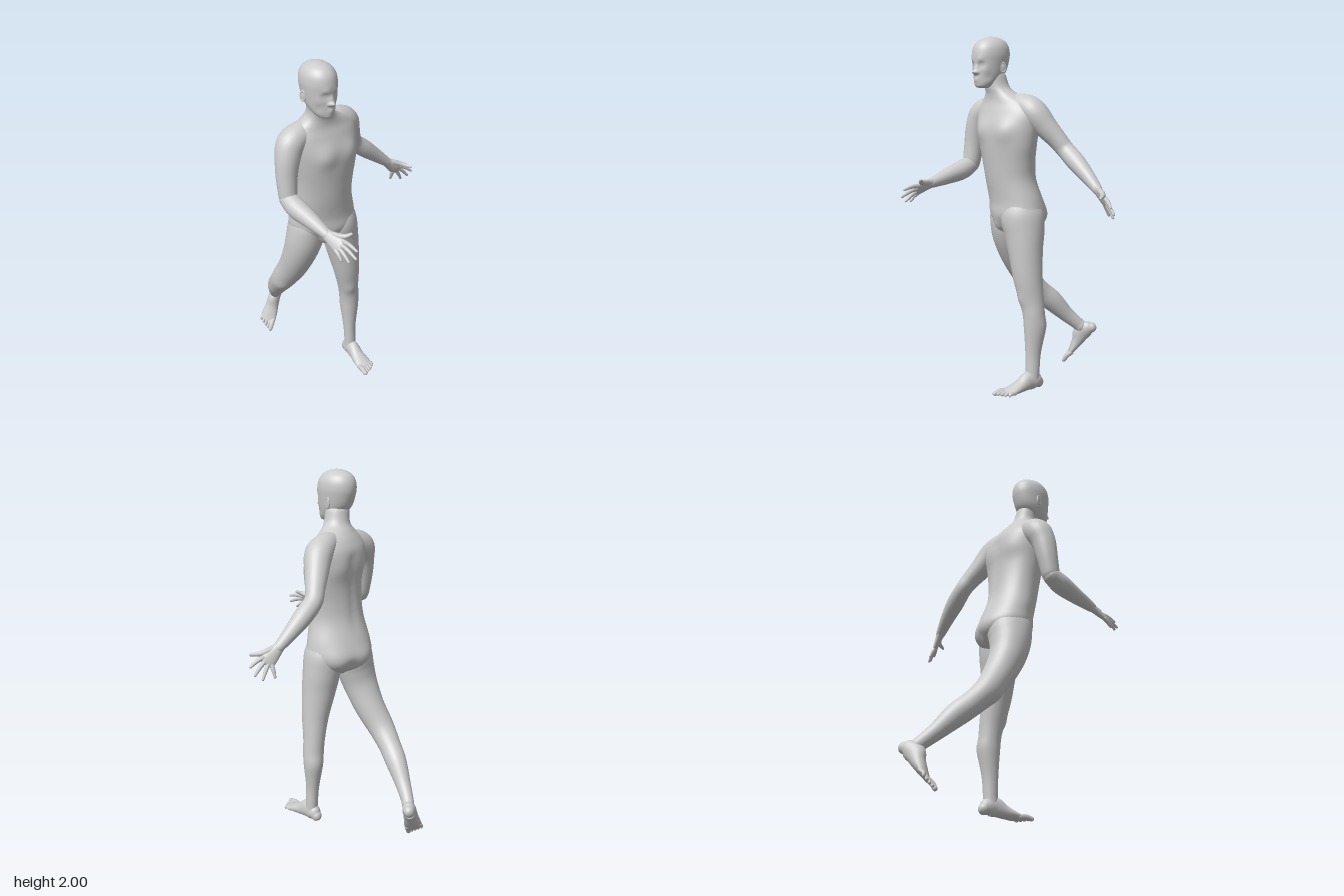
import * as THREE from 'three';

const V = (x, y, z) => new THREE.Vector3(x, y, z);
const material = new THREE.MeshStandardMaterial({ color: 0xcccccc });

// Smooth skin over elliptical sections [x, y, z, a, b, yaw] with domed ends.
// flat: sections stay level and turn by yaw; otherwise they follow the path, a lying along side.
function loft(rows, { flat = false, side = V(1, 0, 0), seg = 20, steps = 6, dome = 1 } = {}) {
  const path = new THREE.CatmullRomCurve3(rows.map(r => V(r[0], r[1], r[2])), false, 'catmullrom', 0.5);
  const size = new THREE.CatmullRomCurve3(rows.map(r => V(r[3], r[4] ?? r[3], r[5] ?? 0)), false, 'catmullrom', 0.5);
  const n = (rows.length - 1) * steps, pos = [], idx = [];
  let rings = 0;
  const ring = (t, scale, shift) => {
    const p = path.getPoint(t), s = size.getPoint(t);
    const dir = flat ? V(0, 1, 0) : path.getTangent(t);
    const u = flat ? V(Math.cos(s.z), 0, -Math.sin(s.z)) : side.clone().addScaledVector(dir, -side.dot(dir)).normalize();
    const v = u.clone().cross(dir);
    p.addScaledVector(dir, shift * dome * Math.min(s.x, s.y));
    for (let j = 0; j < seg; j++) {
      const q = j / seg * Math.PI * 2;
      const w = p.clone().addScaledVector(u, s.x * scale * Math.cos(q)).addScaledVector(v, s.y * scale * Math.sin(q));
      pos.push(w.x, w.y, w.z);
    }
    rings++;
  };
  const cap = [0.02, 0.4, 0.75, 0.93];
  cap.forEach(c => ring(0, c, -Math.sqrt(1 - c * c)));
  for (let i = 0; i <= n; i++) ring(i / n, 1, 0);
  cap.reverse().forEach(c => ring(1, c, Math.sqrt(1 - c * c)));
  for (let r = 0; r < rings - 1; r++) for (let j = 0; j < seg; j++) {
    const k = (j + 1) % seg, a = r * seg + j, c = r * seg + k;
    idx.push(a, a + seg, c, c, a + seg, c + seg);
  }
  const g = new THREE.BufferGeometry();
  g.setAttribute('position', new THREE.Float32BufferAttribute(pos, 3));
  g.setIndex(idx);
  g.computeVertexNormals();
  return g;
}

// Soft swellings and hollows: [x, y, z, radius, height]
function sculpt(g, bumps) {
  const p = g.attributes.position, nor = g.attributes.normal;
  for (let i = 0; i < p.count; i++) {
    const w = V().fromBufferAttribute(p, i), n = V().fromBufferAttribute(nor, i);
    let h = 0;
    for (const [x, y, z, r, k] of bumps) h += k * Math.exp(-w.distanceToSquared(V(x, y, z)) / (r * r));
    w.addScaledVector(n, h);
    p.setXYZ(i, w.x, w.y, w.z);
  }
  g.computeVertexNormals();
  return g;
}

function add(parent, name, geometry) {
  const m = new THREE.Mesh(geometry, material);
  m.name = name;
  parent.add(m);
  return m;
}

// Palm, four fingers and a thumb; across points from the little finger to the index finger
function hand(name, wrist, knuckles, across, tips, thumbTip) {
  const g = new THREE.Group();
  g.name = name;
  const side = across.clone().normalize();
  const at = (t, s) => wrist.clone().lerp(knuckles, t).addScaledVector(across, s);
  add(g, 'palm', loft([
    [...at(-0.1, 0), 0.028, 0.025], [...at(0.3, 0), 0.035, 0.021],
    [...at(0.75, 0), 0.042, 0.017], [...at(1, 0), 0.039, 0.012]], { side }));
  tips.forEach((tip, i) => {
    const base = at(0.92, 0.78 - i * 0.52), mid = base.clone().lerp(tip, 0.5).add(V(0, 0.005, 0));
    add(g, 'finger', loft([[...base, 0.0125], [...mid, 0.011], [...tip, 0.007]], { side, seg: 10, steps: 4 }));
  });
  const root = at(0.2, 0.45);
  add(g, 'thumb', loft([[...root, 0.017], [...at(0.7, 1.05).lerp(thumbTip, 0.15), 0.015], [...thumbTip, 0.008]],
    { side, seg: 10, steps: 4 }));
  return g;
}

// Foot built along +z from the ankle, then turned; inner is the x sign of the big toe
function foot(name, ankle, forward, up, inner) {
  const g = new THREE.Group();
  g.name = name;
  add(g, 'footBody', loft([
    [0, -0.072, -0.04, 0.03, 0.032], [0, -0.058, -0.015, 0.037, 0.049], [0, -0.052, 0.03, 0.038, 0.055],
    [0, -0.071, 0.085, 0.042, 0.038], [0, -0.085, 0.14, 0.049, 0.025], [0, -0.093, 0.18, 0.047, 0.015]]));
  for (let i = 0; i < 5; i++) {
    const x = inner * (0.034 - i * 0.0185), r = i ? 0.0105 : 0.0155, end = 0.237 - i * 0.008 - i * i * 0.001;
    add(g, 'toe', loft([[x, -0.093, 0.165 - i * 0.004, r], [x * 1.04, -0.09, (0.165 + end) / 2, r],
      [x * 1.06, -0.097, end, r * 0.85]], { seg: 10, steps: 4 }));
  }
  const f = forward.normalize(), x = up.clone().cross(f).normalize(), y = f.clone().cross(x);
  g.applyMatrix4(new THREE.Matrix4().makeBasis(x, y, f).setPosition(ankle));
  return g;
}

function head() {
  const g = new THREE.Group();
  g.name = 'head';
  const skull = loft([
    [0, 1.717, 0.05, 0.03, 0.034], [0, 1.724, 0.048, 0.045, 0.051], [0, 1.745, 0.036, 0.061, 0.068],
    [0, 1.775, 0.019, 0.074, 0.087], [0, 1.81, 0.006, 0.083, 0.101], [0, 1.86, 0, 0.09, 0.113],
    [0, 1.9, -0.003, 0.093, 0.117], [0, 1.94, -0.005, 0.087, 0.11], [0, 1.97, -0.007, 0.07, 0.09],
    [0, 1.988, -0.008, 0.046, 0.06], [0, 1.996, -0.008, 0.024, 0.03]], { flat: true, seg: 72, steps: 8, dome: 0.12 });
  const face = [[0, 1.803, 0.108, 0.014, 0.03], [0, 1.828, 0.108, 0.014, 0.011],
    [0, 1.767, 0.105, 0.018, 0.006], [0, 1.757, 0.104, 0.016, 0.004], [0, 1.733, 0.1, 0.02, 0.005]];
  for (const s of [-1, 1]) face.push(
    [s * 0.034, 1.843, 0.1, 0.018, -0.009], [s * 0.033, 1.841, 0.098, 0.01, 0.004],
    [s * 0.03, 1.868, 0.108, 0.02, 0.004], [s * 0.014, 1.798, 0.105, 0.008, 0.006],
    [s * 0.053, 1.815, 0.08, 0.024, 0.003], [s * 0.055, 1.775, 0.07, 0.022, -0.003]);
  add(g, 'skull', sculpt(skull, face));
  for (const s of [-1, 1]) {
    // Ear: a rim around a shallow bowl
    const ear = new THREE.Group();
    ear.name = 'ear';
    add(ear, 'earRim', new THREE.TorusGeometry(0.018, 0.005, 8, 24)).scale.set(0.85, 1.4, 1);
    add(ear, 'earBowl', new THREE.SphereGeometry(0.019, 16, 12)).scale.set(0.85, 1.3, 0.3);
    ear.position.set(s * 0.089, 1.828, -0.014);
    ear.rotation.set(0, s * (Math.PI / 2 - 0.35), 0);
    g.add(ear);
  }
  g.position.set(-0.085, 0, 0.083);
  g.rotation.y = 0.66;
  return g;
}

export function createModel() {
  const body = new THREE.Group();
  body.name = 'walkingFigure';

  // Trunk twists from the hips up to the shoulders and runs into the neck
  const trunk = loft([
    [-0.06, 0.9, -0.06, 0.06, 0.07, 0.3], [-0.065, 0.94, -0.07, 0.14, 0.112, 0.3],
    [-0.07, 1.0, -0.067, 0.192, 0.145, 0.33], [-0.07, 1.08, -0.06, 0.188, 0.142, 0.4],
    [-0.063, 1.2, -0.03, 0.168, 0.132, 0.52], [-0.055, 1.3, -0.018, 0.172, 0.13, 0.62],
    [-0.05, 1.4, -0.012, 0.189, 0.132, 0.68], [-0.055, 1.5, -0.012, 0.205, 0.132, 0.7],
    [-0.065, 1.58, -0.015, 0.208, 0.118, 0.7], [-0.072, 1.635, -0.005, 0.172, 0.096, 0.7],
    [-0.078, 1.68, 0.02, 0.108, 0.079, 0.68], [-0.08, 1.72, 0.045, 0.073, 0.07, 0.66],
    [-0.084, 1.79, 0.065, 0.067, 0.067, 0.66]], { flat: true, seg: 64, steps: 6, dome: 0.3 });
  const relief = [[-0.04, 0.935, 0.045, 0.045, 0.022], [-0.12, 0.96, -0.215, 0.035, -0.015], [0.01, 1.13, 0.09, 0.015, -0.006]];
  for (const s of [-1, 1]) relief.push(
    [0.027 + s * 0.066, 1.475, 0.09 - s * 0.053, 0.06, 0.016],     // chest
    [-0.118 + s * 0.08, 0.975, -0.2 - s * 0.028, 0.08, 0.022],     // buttocks
    [-0.135 + s * 0.075, 1.5, -0.1 - s * 0.062, 0.065, 0.01]);     // shoulder blades
  for (let y = 1.14; y < 1.55; y += 0.05) relief.push([-0.138, y, -0.125, 0.03, -0.006]); // spine
  add(body, 'trunk', sculpt(trunk, relief));
  body.add(head());

  // Right arm, bent forward at the elbow
  add(body, 'rightUpperArm', loft([
    [-0.11, 1.622, 0.02, 0.055], [-0.18, 1.598, 0.075, 0.07], [-0.232, 1.56, 0.117, 0.078], [-0.25, 1.49, 0.147, 0.069],
    [-0.257, 1.39, 0.166, 0.059], [-0.252, 1.285, 0.183, 0.051]], { side: V(0.7, 0, -0.7), seg: 28 }));
  add(body, 'rightForearm', loft([
    [-0.25, 1.27, 0.19, 0.05], [-0.205, 1.24, 0.245, 0.056], [-0.13, 1.212, 0.33, 0.045], [-0.05, 1.182, 0.425, 0.028]], { seg: 24 }));
  body.add(hand('rightHand', V(-0.05, 1.182, 0.425), V(0.02, 1.152, 0.505), V(0.026, 0.03, -0.004),
    [V(0.1, 1.163, 0.573), V(0.095, 1.125, 0.585), V(0.06, 1.096, 0.566), V(0.022, 1.092, 0.54)], V(0.076, 1.213, 0.482)));

  // Left arm, swung back and outward
  add(body, 'leftArm', loft([
    [-0.035, 1.63, -0.04, 0.055], [0.02, 1.613, -0.1, 0.071], [0.06, 1.578, -0.148, 0.077], [0.083, 1.5, -0.213, 0.065],
    [0.102, 1.43, -0.275, 0.054], [0.12, 1.375, -0.318, 0.05], [0.18, 1.315, -0.365, 0.051],
    [0.25, 1.25, -0.412, 0.041], [0.325, 1.183, -0.455, 0.028]], { side: V(0.6, 0.1, 0.8), seg: 28 }));
  body.add(hand('leftHand', V(0.325, 1.183, -0.455), V(0.395, 1.117, -0.49), V(0.028, 0.026, 0.006),
    [V(0.477, 1.102, -0.5), V(0.457, 1.063, -0.52), V(0.418, 1.04, -0.525), V(0.355, 1.045, -0.515)], V(0.468, 1.15, -0.448)));

  // Left leg, standing
  const leftLeg = loft([
    [0.01, 1.08, -0.085, 0.09, 0.1], [0.022, 1.0, -0.088, 0.107, 0.125], [0.035, 0.9, -0.098, 0.105, 0.114],
    [0.05, 0.8, -0.103, 0.096, 0.099],
    [0.073, 0.65, -0.115, 0.077, 0.084], [0.085, 0.52, -0.137, 0.062, 0.069], [0.091, 0.44, -0.147, 0.059, 0.063],
    [0.093, 0.36, -0.152, 0.055, 0.062], [0.096, 0.22, -0.143, 0.038, 0.045], [0.1, 0.12, -0.14, 0.035, 0.04],
    [0.101, 0.07, -0.138, 0.035, 0.04]], { seg: 32 });
  add(body, 'leftLeg', sculpt(leftLeg, [[0.1, 0.53, -0.07, 0.035, 0.008], [0.09, 0.38, -0.21, 0.05, 0.004]]));
  body.add(foot('leftFoot', V(0.1, 0.112, -0.14), V(0.5, 0, 0.87), V(0, 1, 0), -1));

  // Right leg, trailing with the heel raised
  const rightLeg = loft([
    [-0.14, 1.08, -0.045, 0.09, 0.1], [-0.153, 1.0, -0.045, 0.108, 0.125], [-0.172, 0.9, -0.04, 0.108, 0.116],
    [-0.2, 0.8, -0.055, 0.098, 0.1],
    [-0.243, 0.68, -0.1, 0.086, 0.086], [-0.3, 0.565, -0.16, 0.075, 0.072], [-0.333, 0.48, -0.235, 0.063, 0.066],
    [-0.352, 0.41, -0.315, 0.058, 0.064], [-0.368, 0.32, -0.405, 0.043, 0.047], [-0.374, 0.26, -0.475, 0.035, 0.039],
    [-0.373, 0.238, -0.5, 0.034, 0.038]], { seg: 32 });
  add(body, 'rightLeg', sculpt(rightLeg, [[-0.31, 0.53, -0.1, 0.04, 0.01]]));
  body.add(foot('rightFoot', V(-0.377, 0.253, -0.488), V(-0.32, -0.71, 0.62), V(-0.1, 0.64, 0.76), 1));

  return body;
}
